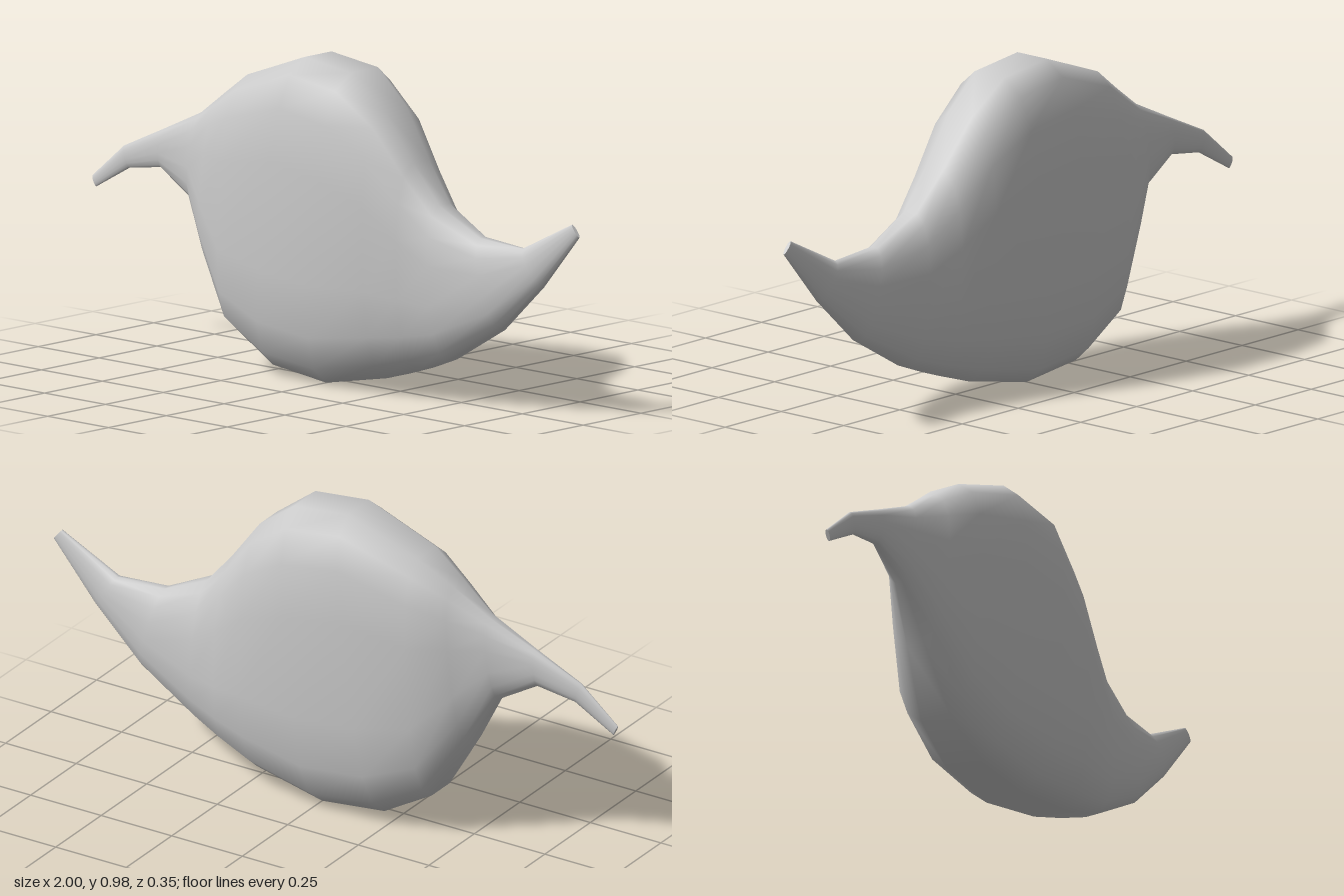
import * as THREE from 'three';

const SIDES = 16;

// Cross-sections from one tip to the other:
// [top x, top y, bottom x, bottom y, front z, back z, squareness]
const SECTIONS = [
  [-1, 0.487, -0.985, 0.455, 0.02, 0.008, 2],
  [-0.87, 0.595, -0.85, 0.53, 0.025, 0.002, 2],
  [-0.71, 0.667, -0.72, 0.55, 0.033, -0.012, 2.2],
  [-0.55, 0.74, -0.59, 0.475, 0.055, -0.04, 2.4],
  [-0.44, 0.815, -0.5, 0.31, 0.105, -0.09, 2.7],
  [-0.33, 0.89, -0.38, 0.115, 0.148, -0.145, 3],
  [-0.09, 0.977, -0.22, 0.025, 0.165, -0.168, 3.1],
  [0.1, 0.955, 0, 0.0, 0.172, -0.175, 3],
  [0.23, 0.855, 0.24, 0.045, 0.15, -0.15, 2.8],
  [0.34, 0.71, 0.36, 0.083, 0.125, -0.115, 2.6],
  [0.44, 0.595, 0.47, 0.125, 0.1, -0.08, 2.4],
  [0.6, 0.517, 0.68, 0.245, 0.068, -0.042, 2.2],
  [0.77, 0.507, 0.85, 0.4, 0.042, -0.012, 2],
  [0.97, 0.607, 1, 0.572, 0.022, 0.01, 2],
];

// One rounded ring, running from the top over the front to the bottom and back
function ring([tx, ty, bx, by, front, back, n]) {
  const power = (v) => Math.sign(v) * Math.abs(v) ** (2 / n);
  const peak = power(Math.cos(Math.PI / SIDES));
  return Array.from({ length: SIDES }, (_, k) => {
    const a = ((k + 0.5) / SIDES) * Math.PI * 2;
    const h = power(Math.cos(a)) / peak;
    const w = power(Math.sin(a)) / peak;
    return new THREE.Vector3(
      (tx + bx) / 2 + (h * (tx - bx)) / 2,
      (ty + by) / 2 + (h * (ty - by)) / 2,
      (front + back) / 2 + (w * (front - back)) / 2
    );
  });
}

function makeGeometry(points, index) {
  const geometry = new THREE.BufferGeometry().setFromPoints(points);
  geometry.setIndex(index);
  geometry.computeVertexNormals();
  return geometry;
}

// Smooth skin through all rings
function skin(rings) {
  const index = [];
  for (let i = 0; i < rings.length - 1; i++) {
    for (let k = 0; k < SIDES; k++) {
      const a = i * SIDES + k;
      const b = i * SIDES + ((k + 1) % SIDES);
      index.push(a, b, a + SIDES, b, b + SIDES, a + SIDES);
    }
  }
  return makeGeometry(rings.flat(), index);
}

// Flat end closing a ring
function cap(points, reversed) {
  const index = [];
  for (let k = 1; k < SIDES - 1; k++) {
    index.push(0, ...(reversed ? [k + 1, k] : [k, k + 1]));
  }
  return makeGeometry(points, index);
}

export function createModel() {
  const model = new THREE.Group();
  model.name = 'leafPod';
  const material = new THREE.MeshStandardMaterial({ color: 0xcccccc });
  const add = (name, geometry) => {
    const mesh = new THREE.Mesh(geometry, material);
    mesh.name = name;
    model.add(mesh);
  };

  const rings = SECTIONS.map(ring);
  add('body', skin(rings));
  add('rightTip', cap(rings[0], true));
  add('leftTip', cap(rings[rings.length - 1], false));
  return model;
}
